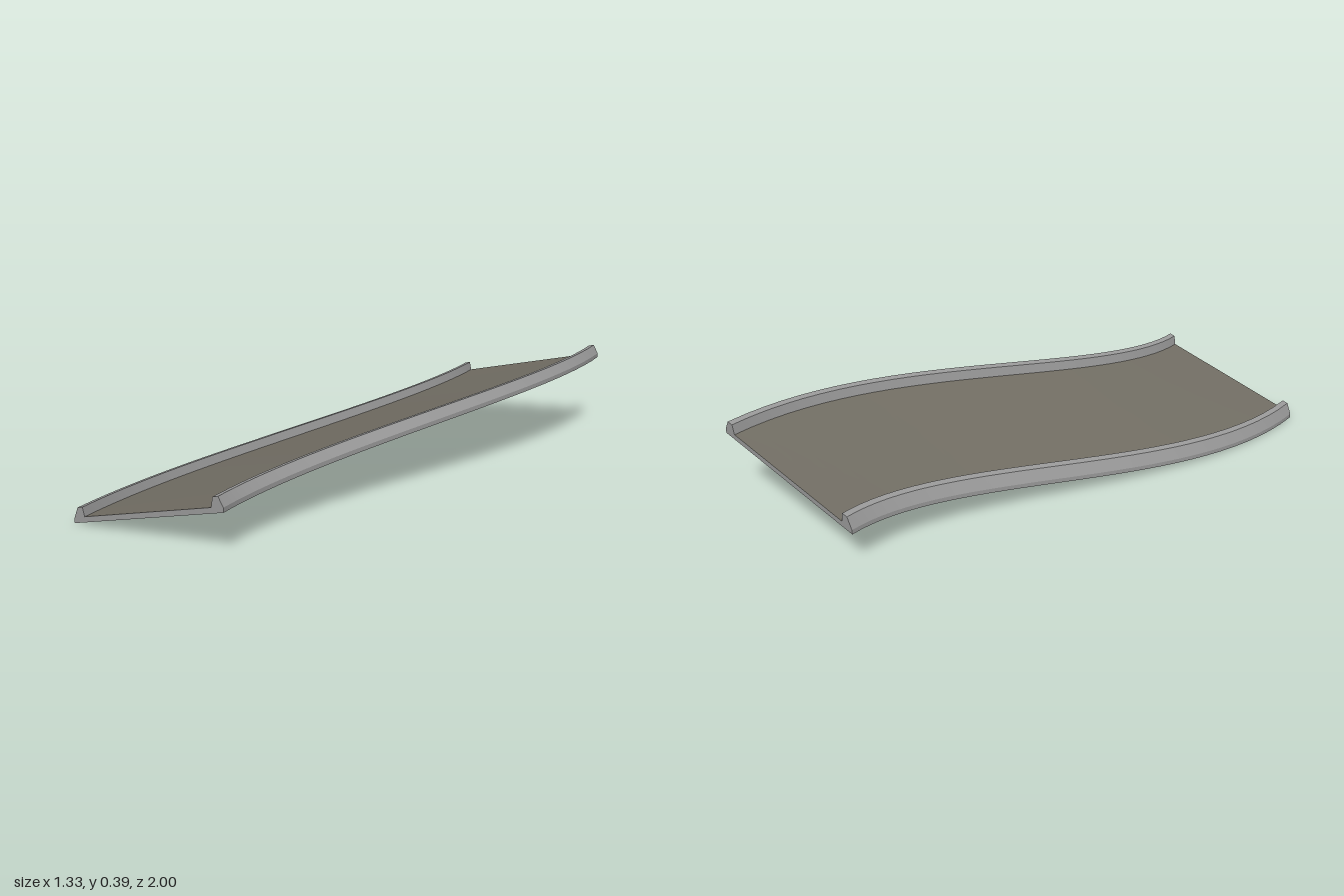
import * as THREE from 'three';

const HALF = 0.665 / 2; // half width of the track
const RISE = 0.168;     // climb along the track, and across it
const STEPS = 32;

// Point of the banked S curve: u across, v up, t from front (0) to back (1)
function place([u, v], t) {
  const s = t * t * (3 - 2 * t);
  const dx = 2 * HALF * 6 * t * (1 - t), dz = -2;
  const len = Math.hypot(dx, dz);
  return [
    -HALF + 2 * HALF * s - (u * dz) / len,
    RISE / 2 + RISE * s + (u / (2 * HALF)) * RISE + v,
    1 - 2 * t + (u * dx) / len,
  ];
}

function geometry(positions, index) {
  const g = new THREE.BufferGeometry();
  g.setAttribute('position', new THREE.Float32BufferAttribute(positions, 3));
  g.setIndex(index);
  g.computeVertexNormals();
  return g;
}

// One face of the profile, smooth along the track
function strip(a, b) {
  const pos = [], idx = [];
  for (let i = 0; i <= STEPS; i++) {
    pos.push(...place(a, i / STEPS), ...place(b, i / STEPS));
    if (i < STEPS) {
      const k = i * 2;
      idx.push(k, k + 2, k + 1, k + 1, k + 2, k + 3);
    }
  }
  return geometry(pos, idx);
}

// Flat end face
function cap(profile, t) {
  const faces = THREE.ShapeUtils.triangulateShape(profile.map(p => new THREE.Vector2(...p)), []);
  const idx = faces.flatMap(([a, b, c]) => (t === 0 ? [a, b, c] : [a, c, b]));
  return geometry(profile.flatMap(p => place(p, t)), idx);
}

export function createModel() {
  const group = new THREE.Group();
  const concrete = new THREE.MeshStandardMaterial({ color: 0x9a9a9a });
  concrete.name = 'concrete grey';
  const asphalt = new THREE.MeshStandardMaterial({ color: 0x726e64 });
  asphalt.name = 'road brown grey';

  const add = (name, geo, mat) => {
    const mesh = new THREE.Mesh(geo, mat);
    mesh.name = name;
    group.add(mesh);
  };

  // Right half of the cross-section: bottom corner, bevelled curb, road edge
  const side = [
    [HALF, 0], [HALF, 0.018], [HALF - 0.02, 0.06],
    [HALF - 0.043, 0.06], [HALF - 0.05, 0.022],
  ];
  const profile = [...side, ...side.map(([u, v]) => [-u, v]).reverse()];
  const names = ['curbBase', 'curbBevel', 'curbTop', 'curbInner', 'roadSurface',
    'curbInner', 'curbTop', 'curbBevel', 'curbBase', 'underside'];

  // Sweep every face of the cross-section along the curve
  profile.forEach((p, i) => {
    const q = profile[(i + 1) % profile.length];
    add(names[i], strip(p, q), names[i] === 'roadSurface' ? asphalt : concrete);
  });

  add('frontEnd', cap(profile, 0), concrete);
  add('backEnd', cap(profile, 1), concrete);
  return group;
}
